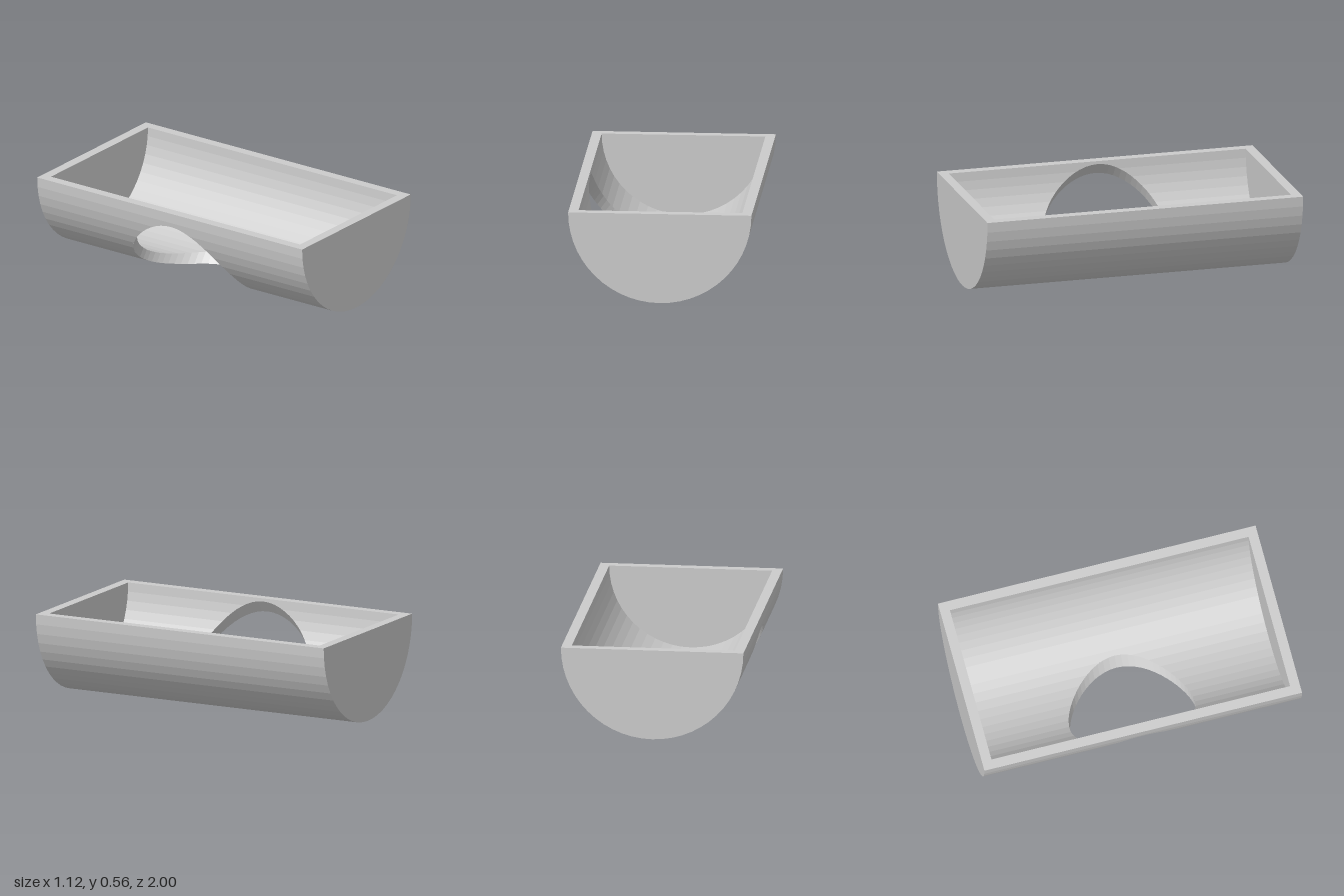
import * as THREE from 'three';

const RO = 0.56, RI = 0.5, HALF = 1, END = 0.94;   // outer / inner radius, half length, inner end
const FACETS = 28, STEP = Math.PI / FACETS;
const HOLE_R = 0.391, HOLE_A = -36.3 * Math.PI / 180, HOLE_N = 64;

// Distance from the axis to the faceted shell at angle t (0 = straight down, + toward +x)
function rho(t, r) {
  const k = (t + Math.PI / 2) / STEP;
  const local = (k - Math.floor(k) - 0.5) * STEP;
  return r * Math.cos(STEP / 2) / Math.cos(local);
}
const point = (t, r, z) => [rho(t, r) * Math.sin(t), RO - rho(t, r) * Math.cos(t), z];

// Angle at which a line parallel to the hole axis, offset by s, meets the shell
function angleAt(s, r) {
  let t = HOLE_A + Math.asin(s / r);
  for (let i = 0; i < 8; i++) t = HOLE_A + Math.asin(s / rho(t, r));
  return t;
}

// Half width of the hole along z at angle t
function holeHalf(t, r) {
  if (Math.cos(t - HOLE_A) <= 0) return 0;
  const s = rho(t, r) * Math.sin(t - HOLE_A);
  return Math.sqrt(Math.max(0, HOLE_R * HOLE_R - s * s));
}

function quad(out, a, b, c, d, flip) {
  if (flip) out.push(...a, ...c, ...b, ...a, ...d, ...c);
  else out.push(...a, ...b, ...c, ...a, ...c, ...d);
}

function fromTriangles(positions) {
  const g = new THREE.BufferGeometry();
  g.setAttribute('position', new THREE.Float32BufferAttribute(positions, 3));
  g.computeVertexNormals();
  return g;
}

// Half-cylinder skin with the round hole left open
function skin(r, zEnd, flip) {
  const angles = [];
  for (let i = 0; i <= FACETS; i++) angles.push(-Math.PI / 2 + i * STEP);
  for (let j = 0; j <= HOLE_N / 2; j++)
    angles.push(angleAt(HOLE_R * Math.cos(j * 2 * Math.PI / HOLE_N), r));
  angles.sort((a, b) => a - b);
  const out = [];
  for (let i = 0; i < angles.length - 1; i++) {
    const a = angles[i], b = angles[i + 1];
    if (b - a < 1e-6) continue;
    const ha = holeHalf(a, r), hb = holeHalf(b, r);
    quad(out, point(a, r, ha), point(b, r, hb), point(b, r, zEnd), point(a, r, zEnd), flip);
    quad(out, point(a, r, -zEnd), point(b, r, -zEnd), point(b, r, -hb), point(a, r, -ha), flip);
  }
  return fromTriangles(out);
}

// Wall of the hole, joining the inner skin to the outer skin
function holeWall() {
  const out = [];
  const edge = (j, r) => {
    const f = j * 2 * Math.PI / HOLE_N;
    return point(angleAt(HOLE_R * Math.cos(f), r), r, HOLE_R * Math.sin(f));
  };
  for (let j = 0; j < HOLE_N; j++)
    quad(out, edge(j, RI), edge(j + 1, RI), edge(j + 1, RO), edge(j, RO), true);
  return fromTriangles(out);
}

// Flat rectangular rim around the open top
function rimGeometry() {
  const rect = (target, x, y) =>
    target.moveTo(-x, -y).lineTo(x, -y).lineTo(x, y).lineTo(-x, y).closePath();
  const shape = rect(new THREE.Shape(), RO, HALF);
  shape.holes.push(rect(new THREE.Path(), RI, END));
  return new THREE.ShapeGeometry(shape).rotateX(-Math.PI / 2).translate(0, RO, 0);
}

export function createModel() {
  const group = new THREE.Group();
  group.name = 'trough';
  const material = new THREE.MeshStandardMaterial({ color: 0xcccccc, flatShading: true });
  const add = (name, geometry) => {
    const mesh = new THREE.Mesh(geometry, material);
    mesh.name = name;
    group.add(mesh);
    return mesh;
  };

  add('outerShell', skin(RO, HALF, false));
  add('innerShell', skin(RI, END, true));
  add('holeWall', holeWall());
  add('rim', rimGeometry());

  // Half-disc end walls: outside faces point away, inside faces point inward
  for (const side of [1, -1]) {
    const label = side > 0 ? 'front' : 'back';
    const halfDisc = (r, facing, z) => new THREE.CircleGeometry(r, FACETS, Math.PI, Math.PI)
      .rotateY(facing > 0 ? 0 : Math.PI).translate(0, RO, z);
    add(label + 'EndOutside', halfDisc(RO, side, side * HALF));
    add(label + 'EndInside', halfDisc(RI, -side, side * END));
  }
  return group;
}
